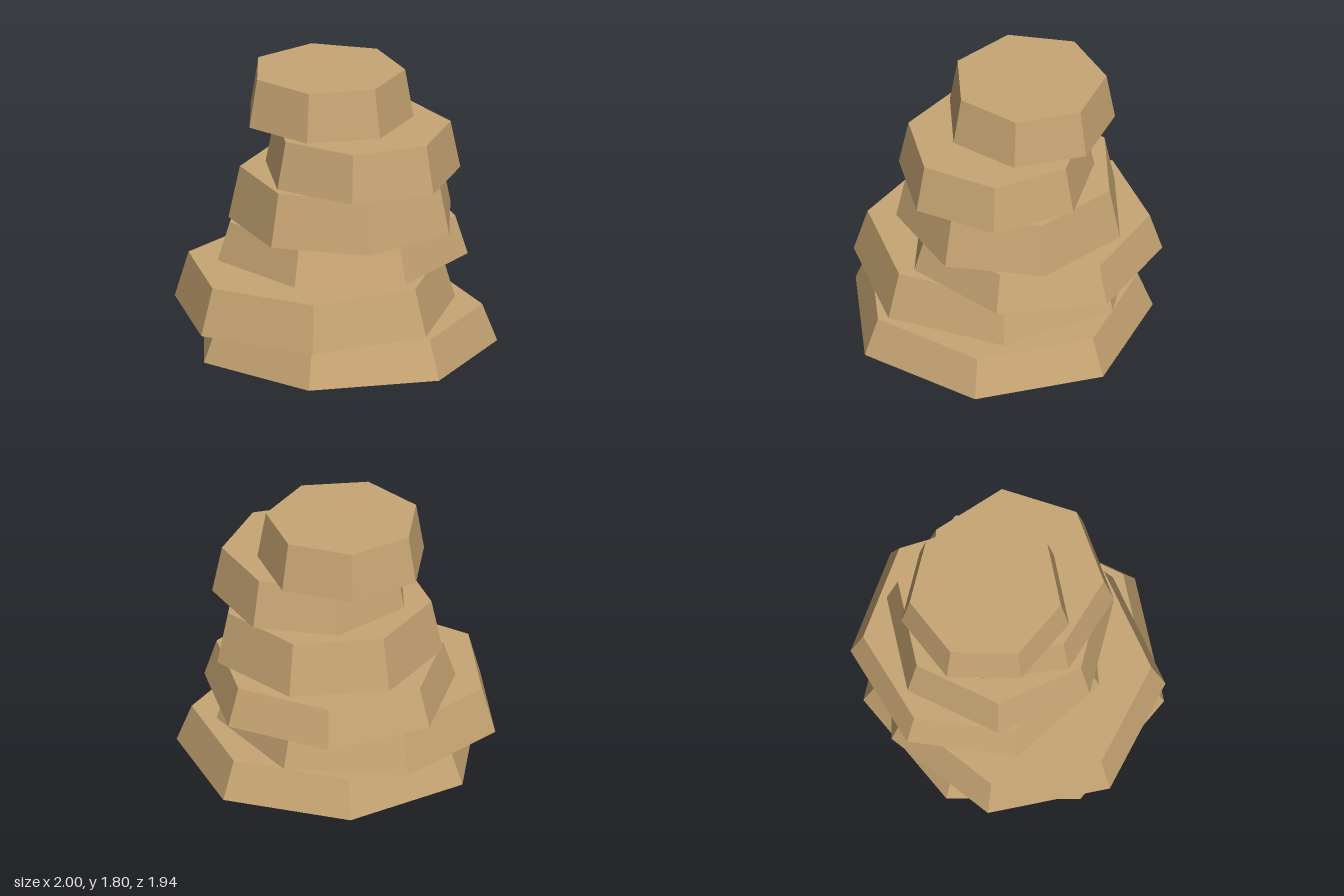
import * as THREE from 'three';

// Stacked seven-sided tapered slabs: [bottom y, top y, centre x, centre z, bottom radius, twist in degrees]
const LAYERS = [
  [0.0, 0.25, 0.07, -0.016, 0.997, 9.0],
  [0.25, 0.557, -0.081, 0.1, 0.929, 21.3],
  [0.557, 0.81, -0.03, -0.22, 0.832, 1.0],
  [0.81, 1.16, 0.048, -0.105, 0.753, 34.0],
  [1.16, 1.476, 0.178, -0.06, 0.648, 16.8],
  [1.476, 1.797, -0.09, -0.148, 0.556, 8.0],
];
const TAPER = 0.902;

export function createModel() {
  const model = new THREE.Group();
  model.name = 'rockStack';

  const sandstone = new THREE.MeshStandardMaterial({ color: 0xc8a674, flatShading: true });
  sandstone.name = 'sandstone';

  LAYERS.forEach(([y0, y1, x, z, radius, twist], i) => {
    const slab = new THREE.Mesh(
      new THREE.CylinderGeometry(radius * TAPER, radius, y1 - y0, 7, 1, false, THREE.MathUtils.degToRad(twist)),
      sandstone,
    );
    slab.name = `rockLayer${i + 1}`;
    slab.position.set(x, (y0 + y1) / 2, z);
    model.add(slab);
  });

  return model;
}
